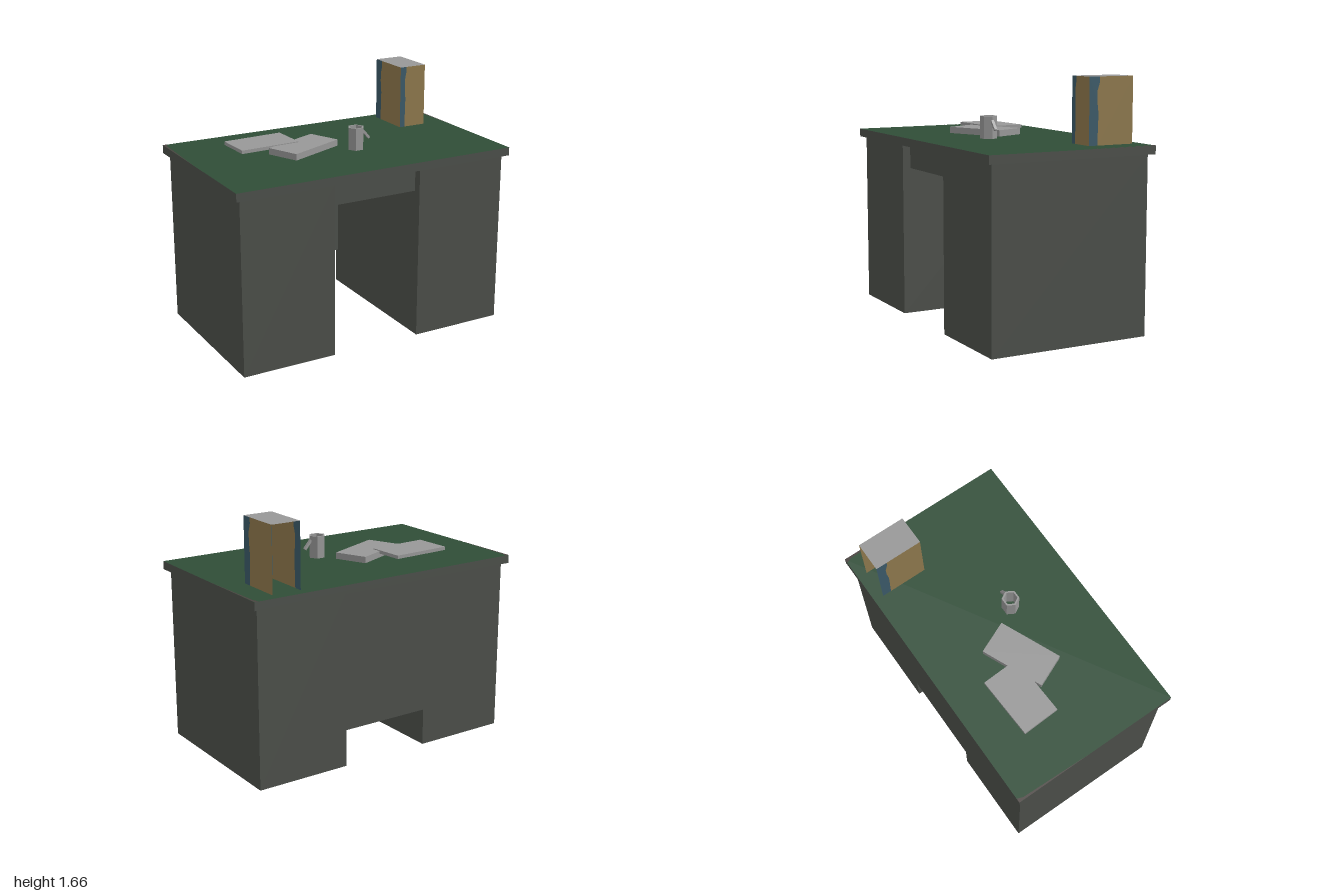
import * as THREE from 'three';

const mat = (name, color, side = THREE.DoubleSide) => {
  const m = new THREE.MeshStandardMaterial({ color, side, flatShading: true });
  m.name = name;
  return m;
};

export function createModel() {
  const model = new THREE.Group();
  const desk = mat('deskGrey', 0x4c4f4a);
  const green = mat('deskGreen', 0x2f4d37);
  const worn = mat('wornEdge', 0x4a4340);
  const grey = mat('lightGrey', 0x979797);
  const tan = mat('tan', 0x8f794d);
  const blue = mat('spineBlue', 0x3b5a69);

  const add = (name, geo, material, x = 0, y = 0, z = 0, parent = model) => {
    const mesh = new THREE.Mesh(geo, material);
    mesh.name = name;
    mesh.position.set(x, y, z);
    parent.add(mesh);
    return mesh;
  };
  const box = (name, [x0, x1], [y0, y1], [z0, z1], material) =>
    add(name, new THREE.BoxGeometry(x1 - x0, y1 - y0, z1 - z0), material,
      (x0 + x1) / 2, (y0 + y1) / 2, (z0 + z1) / 2);

  // Desktop: grey slab with a green upper face
  box('desktop', [-1, 1], [1.175, 1.23], [-0.59, 0.59], [desk, desk, green, desk, desk, desk]);

  // Narrow worn wedges along both rear side edges
  for (const s of [-1, 1]) {
    const wedge = new THREE.Shape([
      new THREE.Vector2(s, 0.59), new THREE.Vector2(s * 0.97, 0.59),
      new THREE.Vector2(s * 0.985, 0.55), new THREE.Vector2(s, 0.05),
    ]);
    add('wornEdge', new THREE.ShapeGeometry(wedge), worn, 0, 1.231, 0).rotation.x = -Math.PI / 2;
  }

  // Pedestals: four walls, open underneath
  for (const s of [-1, 1]) {
    const shell = new THREE.BoxGeometry(0.65, 1.175, 1.11);
    const index = Array.from(shell.index.array);
    shell.setIndex([...index.slice(0, 12), ...index.slice(24)]);
    shell.clearGroups();
    add(s > 0 ? 'leftPedestal' : 'rightPedestal', shell, desk, s * 0.64, 0.5875, 0);
  }

  // Back panel and recessed centre drawer
  box('backPanel', [-0.315, 0.315], [0.25, 1.175], [-0.555, -0.525], desk);
  box('drawer', [-0.315, 0.315], [1.01, 1.16], [-0.5, 0.5], desk);

  // Two stacks of paper, the upper one resting on the lower
  add('lowerPapers', new THREE.BoxGeometry(0.437, 0.043, 0.23), grey, -0.225, 1.2515, -0.027).rotation.y = 0.41;
  add('upperPapers', new THREE.BoxGeometry(0.42, 0.023, 0.257), grey, -0.455, 1.2675, -0.195).rotation.y = 0.045;

  // Hollow six-sided mug with a slanted handle
  const mug = new THREE.Group();
  mug.name = 'mug';
  mug.position.set(0.092, 1.23, 0.112);
  model.add(mug);
  const profile = [[0.057, 0], [0.057, 0.15], [0.045, 0.15], [0.045, 0]].map(p => new THREE.Vector2(...p));
  add('mugWall', new THREE.LatheGeometry(profile, 6, Math.PI / 6), grey, 0, 0, 0, mug);
  add('mugHandle', new THREE.BoxGeometry(0.076, 0.016, 0.02), grey, 0.075, 0.092, 0, mug).rotation.z = -0.87;

  // Upright file: three thin walls and a lid, open at the back
  const file = new THREE.Group();
  file.name = 'file';
  file.position.set(0.735, 1.23, -0.3625);
  model.add(file);
  const H = 0.43;
  // Uneven border between blue and tan: fraction of the width, height
  const border = [[0.19, 0], [0.2, 0.1], [0.21, 0.2], [0.18, 0.28], [0.18, 0.34], [0.23, 0.39], [0.23, H]];
  const wall = (name, width, x, z, turn) => {
    const edge = border.map(([f, y]) => new THREE.Vector2((f - 0.5) * width, y));
    const side = x0 => new THREE.Shape([new THREE.Vector2(x0, 0), ...edge, new THREE.Vector2(x0, H)]);
    for (const [part, x0, m] of [['Blue', -width / 2, blue], ['Tan', width / 2, tan]])
      add(name + part, new THREE.ShapeGeometry(side(x0)), m, x, 0, z, file).rotation.y = turn;
  };
  wall('fileFront', 0.2, 0, 0.1625, 0);
  wall('fileLeft', 0.325, 0.1, 0, Math.PI / 2);
  wall('fileRight', 0.325, -0.1, 0, -Math.PI / 2);
  add('fileTop', new THREE.PlaneGeometry(0.2, 0.325), grey, 0, H, 0, file).rotation.x = -Math.PI / 2;

  return model;
}
